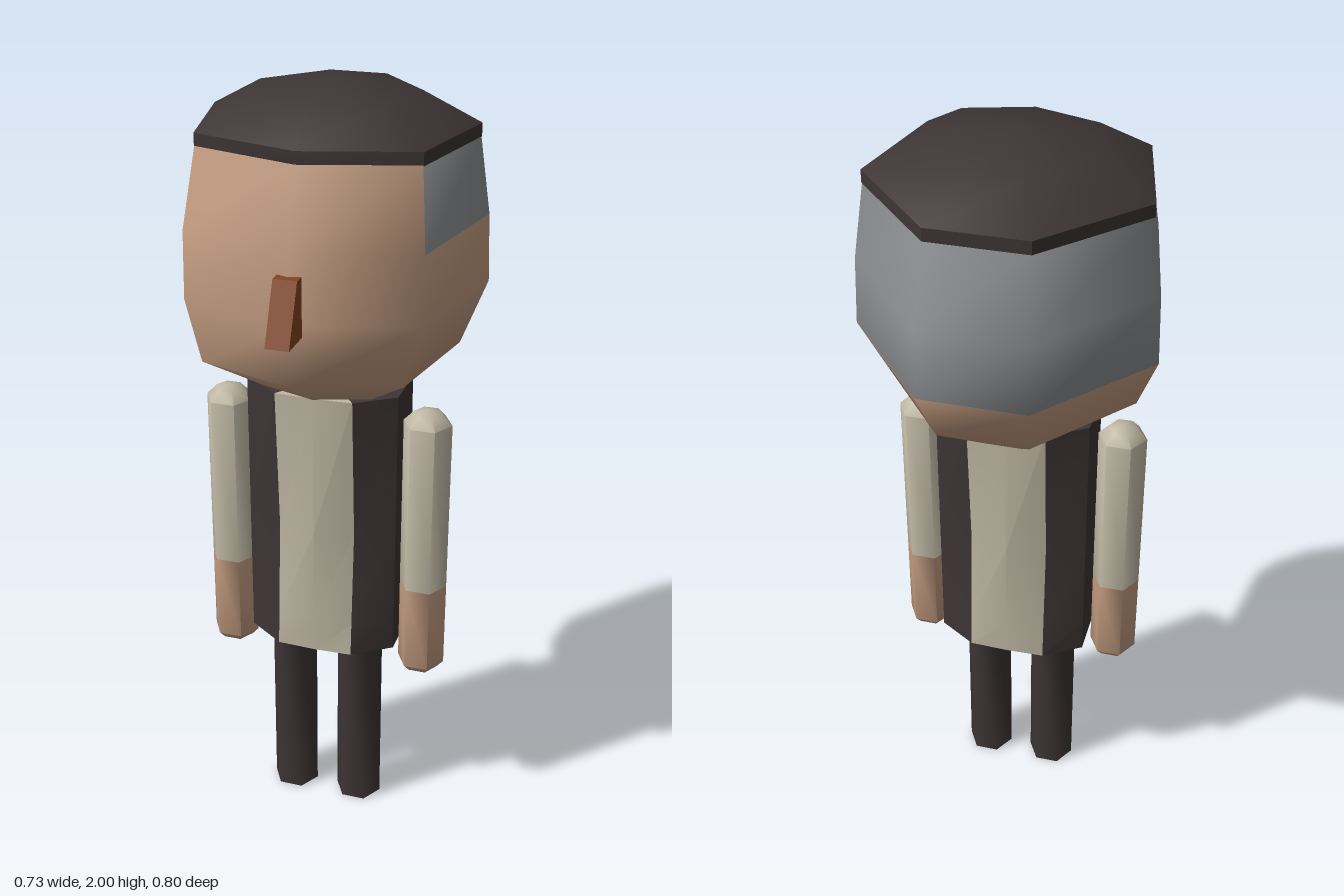
import * as THREE from 'three';
import { toCreasedNormals } from 'three/addons/utils/BufferGeometryUtils.js';

const mat = (name, color) => Object.assign(new THREE.MeshStandardMaterial({ color }), { name });

// Mirrors a half outline (front centre first) into a closed ring of [x, z] points
const mirrorRing = (half) => {
  const other = half.filter(([x]) => x > 0).reverse().map(([x, z]) => [-x, z]);
  return [...half, ...other];
};

// Joins rings { y, pts } from bottom to top and closes both ends.
// pick(row, column) gives the material index; row -1 is the bottom, the last row the top.
function loft(rings, pick, crease, topY) {
  const n = rings[0].pts.length, last = rings.length - 1;
  const pos = [], buckets = [];
  rings.forEach(({ y, pts }) => pts.forEach(([x, z]) => pos.push(x, y, z)));
  const add = (m, ...ids) => (buckets[m] ??= []).push(...ids);
  for (let i = 0; i < last; i++) {
    for (let j = 0; j < n; j++) {
      const k = (j + 1) % n, a = i * n + j, b = i * n + k;
      add(pick(i, j), a, b, b + n, a, b + n, a + n);
    }
  }
  for (const [r, y, row] of [[0, rings[0].y, -1], [last, topY ?? rings[last].y, last]]) {
    const c = pos.length / 3;
    pos.push(0, y, rings[r].pts.reduce((s, p) => s + p[1], 0) / n);
    for (let j = 0; j < n; j++) {
      const a = r * n + j, b = r * n + (j + 1) % n;
      if (row < 0) add(pick(row, j), c, b, a);
      else add(pick(row, j), c, a, b);
    }
  }
  const g = new THREE.BufferGeometry();
  g.setAttribute('position', new THREE.Float32BufferAttribute(pos, 3));
  const index = [];
  buckets.forEach((ids, m) => { g.addGroup(index.length, ids.length, m); index.push(...ids); });
  g.setIndex(index);
  return toCreasedNormals(g, crease);
}

// Six-sided limb from a profile of [radius, y], bottom to top
function limb(profile) {
  const g = new THREE.LatheGeometry(profile.map(([r, y]) => new THREE.Vector2(r, y)), 6);
  g.rotateY(Math.PI / 2);
  return toCreasedNormals(g, 1.1);
}

export function createModel() {
  const skin = mat('skin', 0xc8a084), hair = mat('greyHair', 0x8f9194);
  const dark = mat('darkCloth', 0x3e3535), shirt = mat('shirt', 0xc0b8a4);
  const noseMat = mat('noseBrown', 0x844620);
  const model = new THREE.Group();
  model.name = 'figure';
  const put = (name, geometry, material, x = 0, y = 0, z = 0) => {
    const m = new THREE.Mesh(geometry, material);
    m.name = name;
    m.position.set(x, y, z);
    model.add(m);
    return m;
  };

  // Head: seven-sided, with grey hair on the upper sides and back
  const outline = mirrorRing([[0, 0.32], [0.295, 0.225], [0.365, -0.123], [0.13, -0.402]]);
  const headRing = (y, sx, front, back) => {
    const s = (front - back) / 0.722;
    return { y, pts: outline.map(([x, z]) => [x * sx, front + (z - 0.32) * s]) };
  };
  const headRings = [
    headRing(1.215, 0.33, 0.1, -0.14),
    headRing(1.35, 0.85, 0.32, -0.32),
    headRing(1.5, 1, 0.32, -0.402),
    headRing(1.67, 0.985, 0.32, -0.395),
    headRing(1.86, 0.915, 0.264, -0.338),
  ];
  const headColour = (row, col) =>
    (row === 2 && col >= 2 && col <= 4) || (row === 3 && col >= 1 && col <= 5) ? 1 : 0;
  put('head', loft(headRings, headColour, 1.2), [skin, hair]);

  // Flat hair cap with a thin upright rim and a shallow dome
  const capRings = [
    headRing(1.858, 0.918, 0.264, -0.342),
    headRing(1.89, 0.918, 0.264, -0.342),
    headRing(1.964, 0.55, 0.16, -0.215),
  ];
  put('cap', loft(capRings, () => 0, 0.8, 2), [dark]);

  // Wedge nose
  const side = new THREE.Shape([[-0.31, 1.475], [-0.31, 1.62], [-0.34, 1.62], [-0.4, 1.475]]
    .map(([x, y]) => new THREE.Vector2(x, y)));
  const nose = new THREE.ExtrudeGeometry(side, { depth: 0.058, bevelEnabled: false });
  nose.translate(0, 0, -0.029).rotateY(Math.PI / 2);
  put('nose', nose, noseMat);

  // Torso: shirt panels front and back, dark coat sides pinched at the waist
  const torsoRing = (y, pinch) => ({
    y,
    pts: mirrorRing([[0, 0.152], [0.1, 0.148 - pinch], [0.197, 0.08], [0.197, -0.06],
      [0.1, -0.12 + pinch], [0, -0.123]]),
  });
  const inner = (y) => ({
    y,
    pts: torsoRing(y, 0).pts.map(([x, z]) =>
      [THREE.MathUtils.clamp(x, -0.1, 0.1), Math.abs(x) > 0.15 ? (z > 0 ? 0.148 : -0.12) : z]),
  });
  const torsoRings = [inner(0.52), torsoRing(0.52, 0), torsoRing(0.61, 0.006),
    torsoRing(0.87, 0.024), torsoRing(1.25, 0)];
  const torsoColour = (row, col) => (row < 0 || [0, 4, 5, 9].includes(col) ? 1 : 0);
  put('torso', loft(torsoRings, torsoColour, 0.5), [dark, shirt]);

  // Arms and legs
  const sleeve = limb([[0.0625, 0.71], [0.0625, 1.172], [0.036, 1.2], [0, 1.207]]);
  const hand = limb([[0, 0.453], [0.045, 0.455], [0.0625, 0.475], [0.0625, 0.71]]);
  const leg = limb([[0, 0], [0.0625, 0], [0.0625, 0.53], [0, 0.53]]);
  for (const [s, label] of [[1, 'left'], [-1, 'right']]) {
    put(label + 'Sleeve', sleeve, shirt, s * 0.263, 0, 0.037);
    put(label + 'Hand', hand, skin, s * 0.263, 0, 0.037);
    put(label + 'Leg', leg, dark, s * 0.0925, 0, 0.037);
  }
  return model;
}
